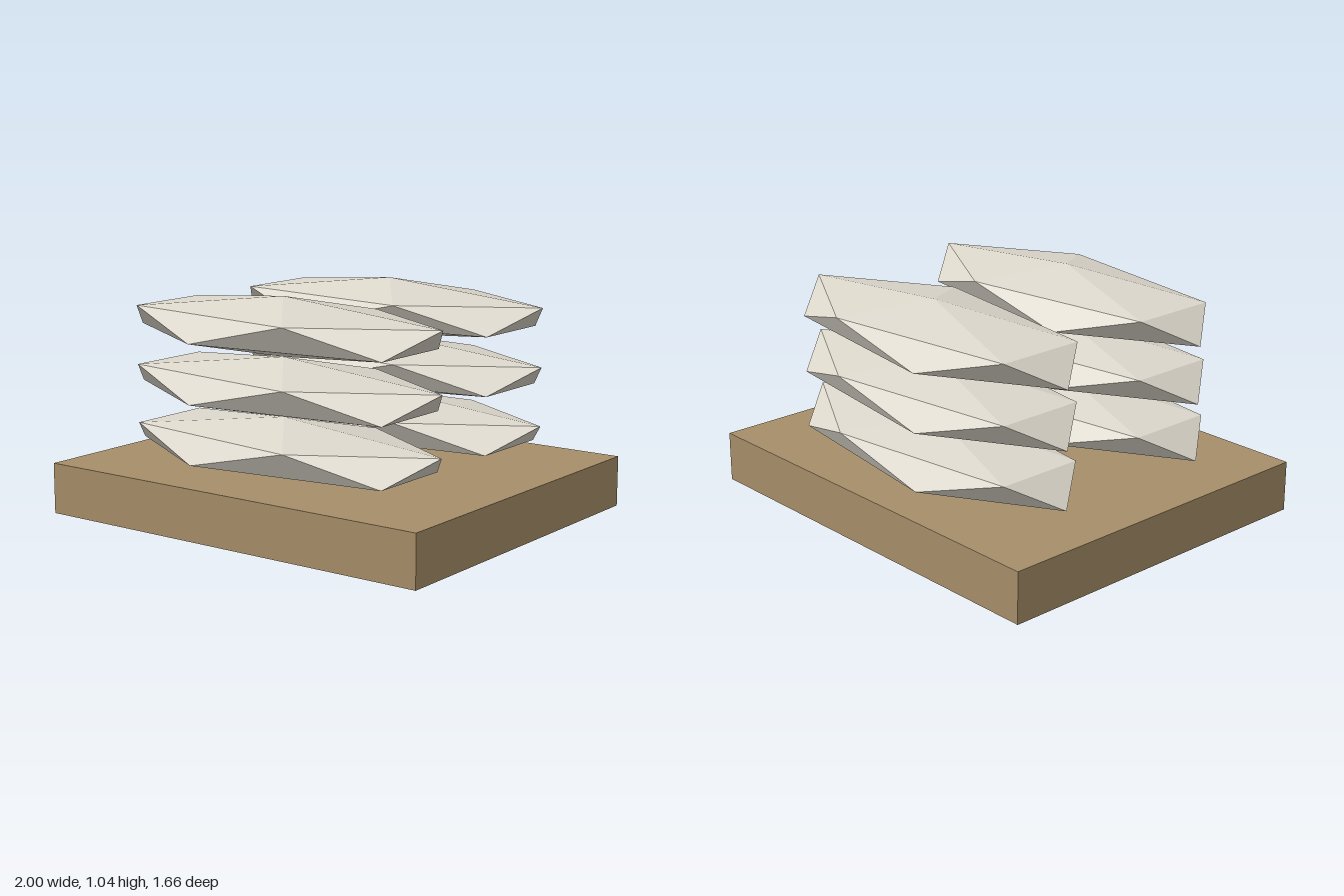
import * as THREE from 'three';

const TOP = 0.235;                 // top of the base
const HALF = 0.134;                // half height of one stone
const RING = 1 / Math.sqrt(5);     // ring height of an icosahedron of radius 1

// Flat-shaded stone: a stretched icosahedron with its poles up and down
function stoneGeometry(rx, ry, rz) {
  const ring = (y, turn) => Array.from({ length: 5 }, (_, i) => {
    const a = (i * 2 + turn) * Math.PI / 5;
    return [rx * Math.cos(a), y * ry, rz * Math.sin(a)];
  });
  const upper = ring(RING, 0);
  const lower = ring(-RING, 1);
  const top = [0, ry, 0];
  const bottom = [0, -ry, 0];
  const points = [];
  for (let i = 0; i < 5; i++) {
    const j = (i + 1) % 5;
    points.push(
      top, upper[j], upper[i],
      upper[i], upper[j], lower[i],
      upper[j], lower[j], lower[i],
      bottom, lower[i], lower[j],
    );
  }
  const geometry = new THREE.BufferGeometry();
  geometry.setAttribute('position', new THREE.Float32BufferAttribute(points.flat(), 3));
  geometry.computeVertexNormals();
  return geometry;
}

export function createModel() {
  const model = new THREE.Group();
  model.name = 'stackedStones';

  const wood = new THREE.MeshStandardMaterial({ color: 0xa68e69 });
  wood.name = 'tan';
  const stone = new THREE.MeshStandardMaterial({ color: 0xdcd7cb });
  stone.name = 'pale stone';

  // Base slab
  const base = new THREE.Mesh(new THREE.BoxGeometry(2, TOP, 1.664), wood);
  base.name = 'base';
  base.position.y = TOP / 2;
  model.add(base);

  // Two stacks of three stones, back and front
  const geometry = stoneGeometry(0.832, HALF, 0.354);
  for (const side of [-1, 1]) {
    const stack = new THREE.Group();
    stack.name = side < 0 ? 'backStack' : 'frontStack';
    stack.position.z = side * 0.4;
    for (let i = 0; i < 3; i++) {
      const mesh = new THREE.Mesh(geometry, stone);
      mesh.name = 'stone' + (i + 1);
      mesh.position.y = TOP + HALF * (2 * i + 1);
      stack.add(mesh);
    }
    model.add(stack);
  }
  return model;
}
